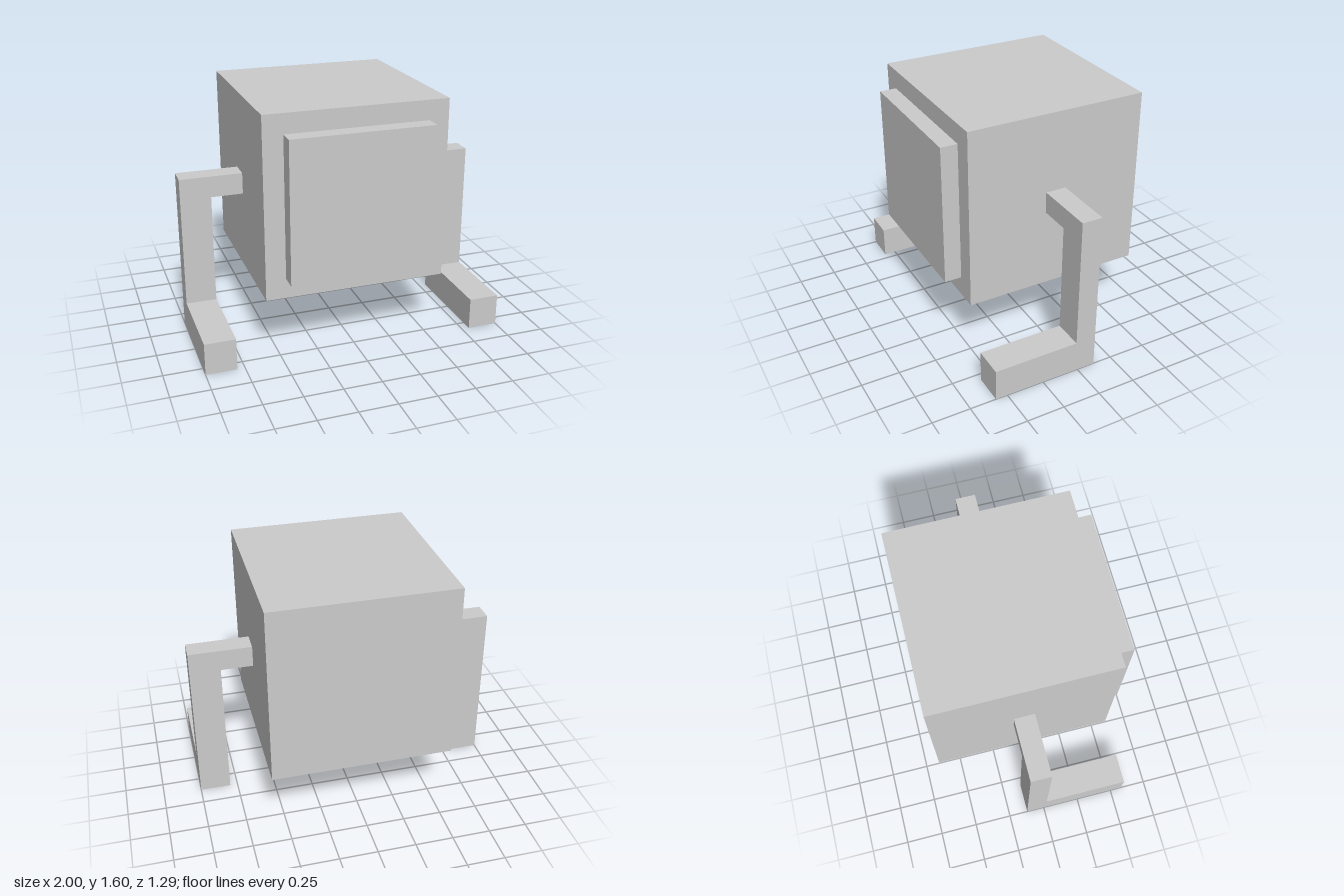
import * as THREE from 'three';

const material = new THREE.MeshStandardMaterial({ color: 0xcccccc, flatShading: true });

// Box given by its minimum and maximum corners
function box(name, [x0, y0, z0], [x1, y1, z1]) {
  const mesh = new THREE.Mesh(new THREE.BoxGeometry(x1 - x0, y1 - y0, z1 - z0), material);
  mesh.position.set((x0 + x1) / 2, (y0 + y1) / 2, (z0 + z1) / 2);
  mesh.name = name;
  return mesh;
}

// Bracket leg: hip bar out from the body, upright, and forward foot
function leg(name, side) {
  const group = new THREE.Group();
  group.name = name;
  const span = (a, b) => (side > 0 ? [a, b] : [-b, -a]);
  const [h0, h1] = span(0.59, 0.8);
  const [l0, l1] = span(0.8, 1);
  group.add(
    box('hipBar', [h0, 0.94, -0.122], [h1, 1.08, 0.014]),
    box('upright', [l0, 0, -0.122], [l1, 1.08, 0.014]),
    box('foot', [l0, 0, 0.014], [l1, 0.212, 0.578])
  );
  return group;
}

export function createModel() {
  const model = new THREE.Group();
  model.name = 'boxWalker';

  // Cubic body with a raised square panel on the front
  model.add(box('body', [-0.592, 0.42, -0.647], [0.592, 1.602, 0.537]));
  model.add(box('facePanel', [-0.463, 0.55, 0.537], [0.463, 1.474, 0.647]));

  model.add(leg('leftLeg', 1), leg('rightLeg', -1));
  return model;
}
